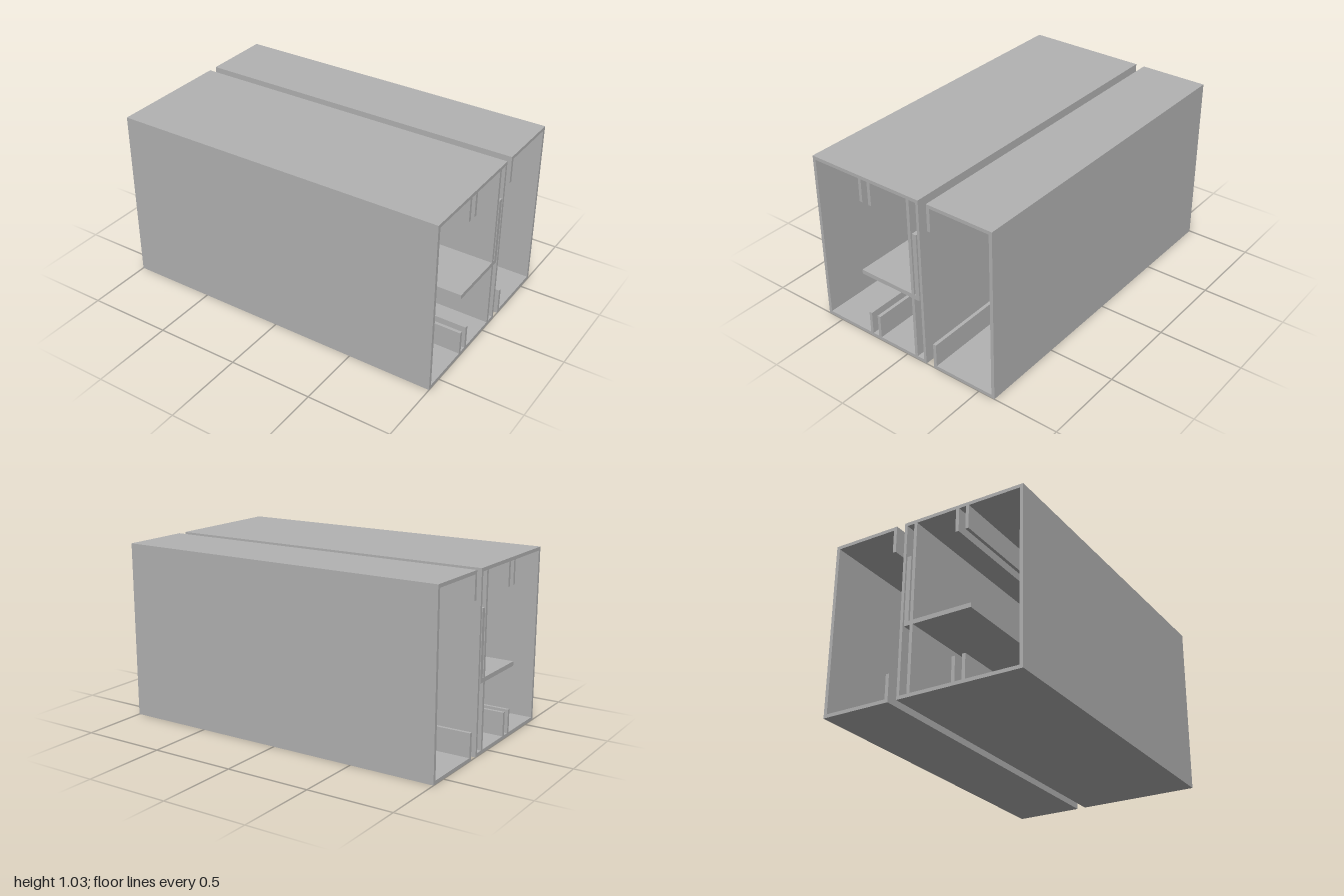
import * as THREE from 'three';

const LENGTH = 2, H = 1.035, T = 0.02;
const LIP_LOW = 0.159, LIP_HIGH = H - 0.159;

const aluminium = new THREE.MeshStandardMaterial({ color: 0xb2b2b2 });
aluminium.name = 'grey aluminium';

const toPoints = (list) => list.map(([z, y]) => new THREE.Vector2(z, y));

// Extrude a (z, y) cross-section along the full length in x
function extrusion(name, outline, hole) {
  const shape = new THREE.Shape(toPoints(outline));
  if (hole) shape.holes.push(new THREE.Path(toPoints(hole)));
  const geometry = new THREE.ExtrudeGeometry(shape, { depth: LENGTH, bevelEnabled: false });
  geometry.rotateY(-Math.PI / 2);
  geometry.translate(LENGTH / 2, 0, 0);
  const mesh = new THREE.Mesh(geometry, aluminium);
  mesh.name = name;
  return mesh;
}

const rect = (z0, z1, y0, y1) => [[z0, y0], [z1, y0], [z1, y1], [z0, y1]];

export function createModel() {
  const model = new THREE.Group();
  model.name = 'railProfile';

  // Closed front housing, its cavity notched by two pairs of guide lips
  const lips = [[0.194, 0.214], [0.256, 0.275]];
  const cavity = [[-0.119, T]];
  for (const [a, b] of lips) cavity.push([a, T], [a, LIP_LOW], [b, LIP_LOW], [b, T]);
  cavity.push([0.584, T], [0.584, H - T]);
  for (const [a, b] of [...lips].reverse()) {
    cavity.push([b, H - T], [b, LIP_HIGH], [a, LIP_HIGH], [a, H - T]);
  }
  cavity.push([-0.119, H - T]);
  model.add(extrusion('frontHousing', rect(-0.136, 0.604, 0, H), cavity));

  // Partition below and above the shelf
  model.add(extrusion('lowerPartition', rect(-0.074, -0.055, T, 0.406)));
  model.add(extrusion('upperPartition', rect(-0.074, -0.055, 0.432, H - T)));

  // L-shaped shelf with its upright leg behind the partition
  model.add(extrusion('angleShelf', [
    [-0.11, 0.406], [0.301, 0.406], [0.301, 0.432],
    [-0.084, 0.432], [-0.084, 0.819], [-0.11, 0.819],
  ]));

  // Open rear channel with inturned lips
  const back = -0.604, front = -0.19;
  model.add(extrusion('rearChannel', [
    [back, 0], [front, 0], [front, LIP_LOW], [front - T, LIP_LOW], [front - T, T],
    [back + T, T], [back + T, H - T],
    [front - T, H - T], [front - T, LIP_HIGH], [front, LIP_HIGH], [front, H], [back, H],
  ]));

  return model;
}
